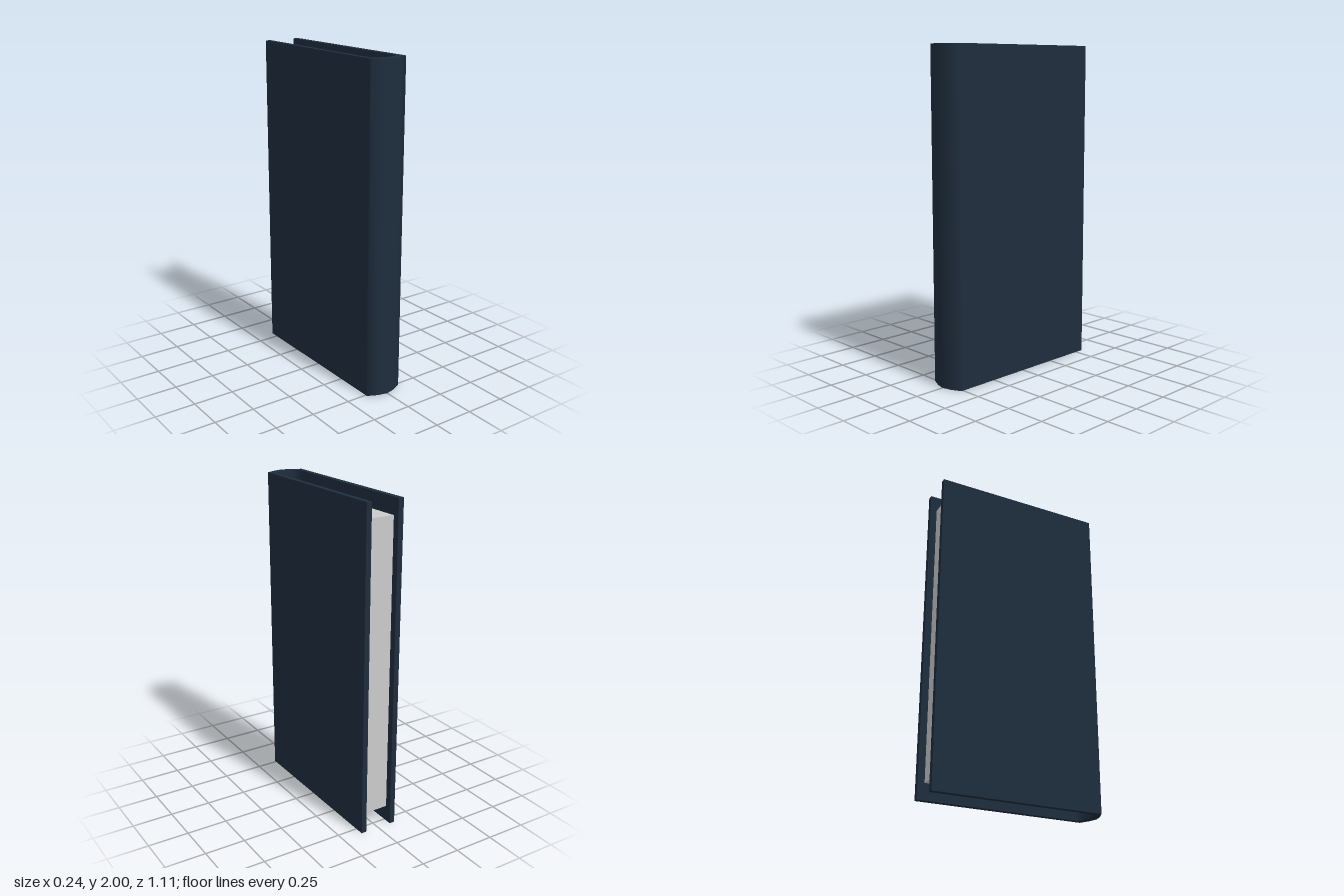
import * as THREE from 'three';
import { toCreasedNormals } from 'three/addons/utils/BufferGeometryUtils.js';

// Upright prism from half of a plan outline (x, z), mirrored across x = 0
function prism(points, bottom, top, crease) {
  const shape = new THREE.Shape(points.map(([x, z]) => new THREE.Vector2(x, z)));
  const geometry = new THREE.ExtrudeGeometry(shape, { depth: top - bottom, bevelEnabled: false });
  geometry.rotateX(Math.PI / 2);
  geometry.translate(0, top, 0);
  return toCreasedNormals(geometry, crease);
}

const mirror = (half) => half.filter(([x]) => x !== 0).reverse().map(([x, z]) => [-x, z]);

export function createModel() {
  const book = new THREE.Group();
  book.name = 'book';

  // Half outlines running from the fore edge to the middle of the rounded spine
  const outer = [[0.12, -0.557], [0.12, 0.5], [0.12, 0.513], [0.058, 0.543], [0, 0.557]];
  const inner = [[0.087, -0.557], [0.087, 0.46], [0.087, 0.472], [0.045, 0.494], [0, 0.508]];

  // Cover: two boards and spine as one U-shaped shell
  const coverOutline = [
    ...outer, ...mirror(outer),
    ...mirror(inner).reverse(), ...inner.slice().reverse(),
  ];
  const cover = new THREE.Mesh(
    prism(coverOutline, 0, 2, 1.2),
    new THREE.MeshStandardMaterial({ color: 0x1e2d3d }),
  );
  cover.name = 'cover';
  book.add(cover);

  // Page block, set back from the cover edges
  const pageHalf = [[0.087, -0.515], ...inner.slice(2)];
  const pages = new THREE.Mesh(
    prism([...pageHalf, ...mirror(pageHalf)], 0.1, 1.9, 0.6),
    new THREE.MeshStandardMaterial({ color: 0xcccccc }),
  );
  pages.name = 'pages';
  book.add(pages);

  return book;
}
